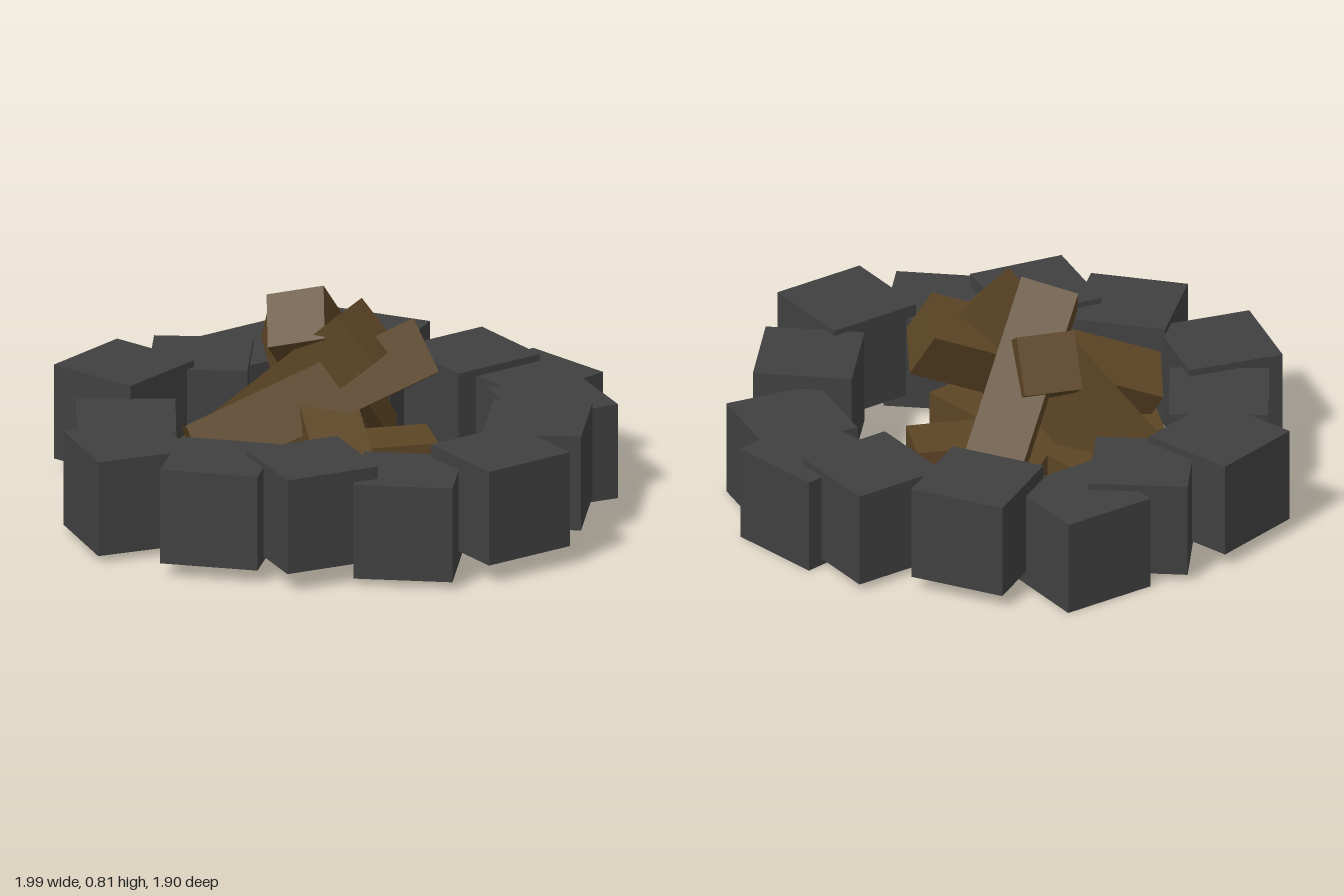
import * as THREE from 'three';

export function createModel() {
  const model = new THREE.Group();
  const stone = new THREE.MeshStandardMaterial({ color: 0x404040 });
  stone.name = 'charcoal stone';
  const wood = new THREE.MeshStandardMaterial({ color: 0x5c4525 });
  wood.name = 'brown wood';
  const rad = THREE.MathUtils.degToRad;

  // Ring of cube stones: x, z, bottom height, turn in degrees
  const ring = new THREE.Group();
  ring.name = 'stoneRing';
  const S = 0.343;
  const stoneGeo = new THREE.BoxGeometry(S, S, S);
  [
    [-0.377, -0.735, 0.05, 15], [-0.067, -0.714, 0.025, -39],
    [0.206, -0.741, 0, 0], [0.489, -0.524, 0.05, 31],
    [0.706, -0.2, 0.025, 0], [0.794, 0.045, 0, 9],
    [0.706, 0.286, 0, -11], [0.452, 0.553, 0.05, -42],
    [0.139, 0.775, 0.07, 0], [-0.174, 0.668, 0.025, -42],
    [-0.447, 0.479, 0.07, -11], [-0.666, 0.238, 0.05, 42],
    [-0.789, -0.136, 0.025, -15], [-0.604, -0.404, 0, -35],
  ].forEach(([x, z, y, turn]) => {
    const m = new THREE.Mesh(stoneGeo, stone);
    m.name = 'stone';
    m.position.set(x, y + S / 2, z);
    m.rotation.y = rad(turn);
    ring.add(m);
  });
  model.add(ring);

  // Square logs, long side along local x, then rolled, tilted and turned
  const logs = new THREE.Group();
  logs.name = 'logPile';
  const logGeo = new THREE.BoxGeometry(0.87, 0.205, 0.205);
  const addLog = (name, x, y, z, turn, tilt = 0, roll = 0) => {
    const m = new THREE.Mesh(logGeo, wood);
    m.name = name;
    m.position.set(x, y, z);
    m.rotation.set(rad(roll), rad(turn), rad(tilt), 'YZX');
    logs.add(m);
  };

  // Three flat logs crossing on the ground
  for (const turn of [-83, -23, 37]) addLog('flatLog', -0.06, 0.122, -0.08, turn);

  // Four logs leaning over the pile
  addLog('leaningLog', 0.128, 0.41, -0.21, 211, 44, 18);
  addLog('leaningLog', -0.125, 0.385, -0.15, -60, 42, 0);
  addLog('leaningLog', -0.09, 0.365, 0.04, 70, 33, 0);
  addLog('leaningLog', -0.12, 0.42, 0.01, -22, 22, -24);
  model.add(logs);

  return model;
}
